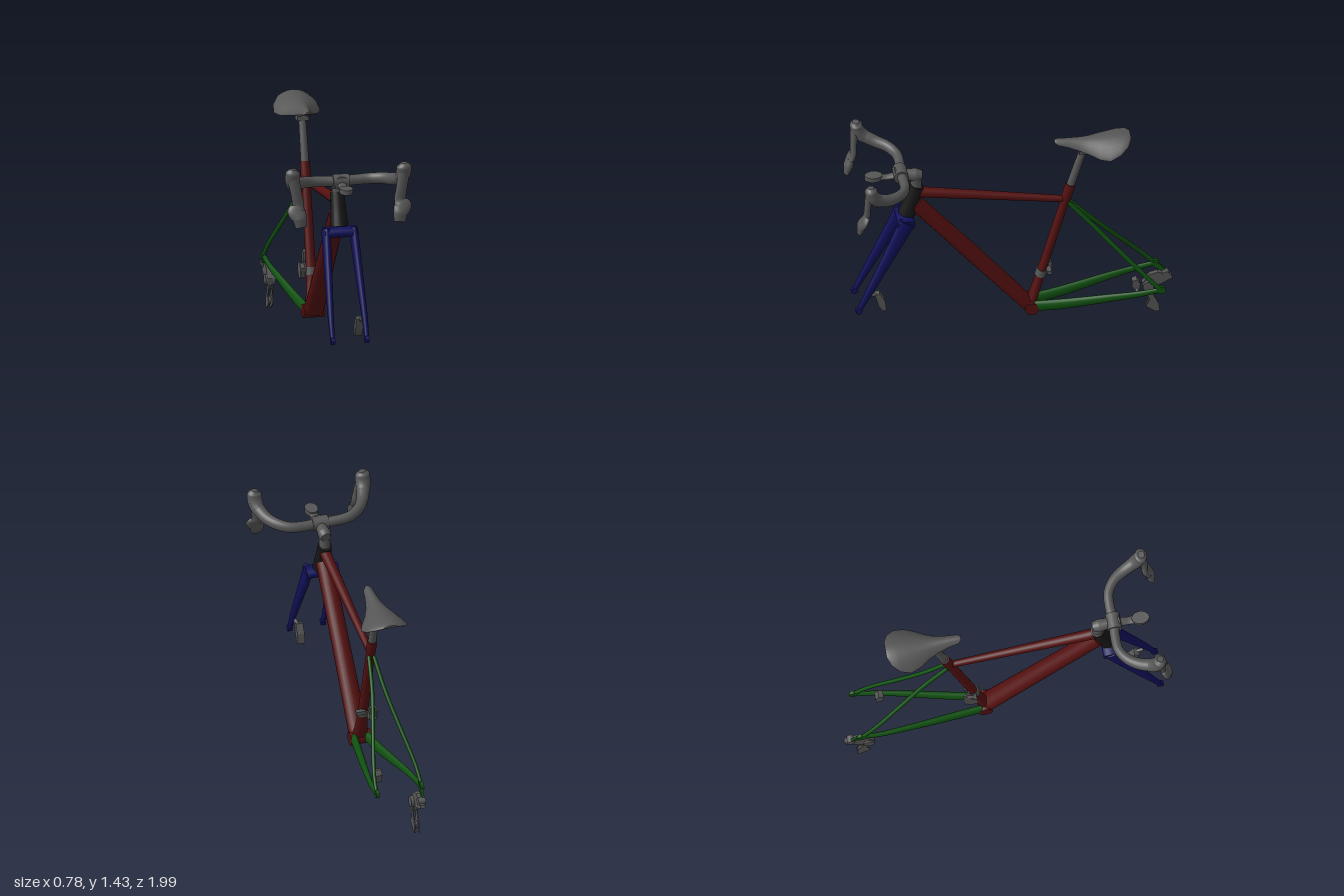
import * as THREE from 'three';

const mat = (name, color) => new THREE.MeshStandardMaterial({ name, color });
const V = (x, y, z) => new THREE.Vector3(x, y, z);

// Closed skin through matching rings of points, with flat end caps
function skin(rings) {
  const n = rings[0].length, pos = [], idx = [];
  rings.forEach(r => r.forEach(p => pos.push(p.x, p.y, p.z)));
  for (let i = 0; i < rings.length - 1; i++)
    for (let j = 0; j < n; j++) {
      const k = (j + 1) % n, a = i * n + j, b = i * n + k;
      idx.push(a, b, a + n, b, b + n, a + n);
    }
  [[rings[0], true], [rings[rings.length - 1], false]].forEach(([r, start]) => {
    const base = pos.length / 3;
    const c = r.reduce((s, p) => s.add(p), V(0, 0, 0)).divideScalar(n);
    [...r, c].forEach(p => pos.push(p.x, p.y, p.z));
    for (let j = 0; j < n; j++) {
      const a = base + j, b = base + (j + 1) % n;
      idx.push(base + n, start ? b : a, start ? a : b);
    }
  });
  const g = new THREE.BufferGeometry();
  g.setAttribute('position', new THREE.Float32BufferAttribute(pos, 3));
  g.setIndex(idx);
  g.computeVertexNormals();
  return g;
}

// Tapered tube; stations are [x, y, z, radius along hint, other radius]
function loft(st, hint = V(1, 0, 0), sides = 20) {
  const curve = new THREE.CatmullRomCurve3(st.map(s => V(s[0], s[1], s[2])));
  const steps = (st.length - 1) * 6, rings = [];
  for (let i = 0; i <= steps; i++) {
    const u = i / steps, f = u * (st.length - 1), k = Math.min(Math.floor(f), st.length - 2);
    const mix = c => THREE.MathUtils.lerp(st[k][c] ?? st[k][3], st[k + 1][c] ?? st[k + 1][3], f - k);
    const p = curve.getPoint(u), t = curve.getTangent(u);
    const s = hint.clone().addScaledVector(t, -hint.dot(t)).normalize();
    const w = t.clone().cross(s), ring = [];
    for (let j = 0; j < sides; j++) {
      const a = j / sides * Math.PI * 2;
      ring.push(p.clone().addScaledVector(s, Math.cos(a) * mix(3)).addScaledVector(w, Math.sin(a) * mix(4)));
    }
    rings.push(ring);
  }
  return skin(rings);
}

// Flat side plate from [z, y] corners, centred at x
function plate(pts, x, depth) {
  const shape = new THREE.Shape(pts.map(p => new THREE.Vector2(p[0], p[1])));
  const g = new THREE.ExtrudeGeometry(shape, { depth, bevelEnabled: false });
  return g.rotateY(-Math.PI / 2).translate(x + depth / 2, 0, 0);
}

// Short cylinder lying across the bike
const axle = (x, y, z, r, len) =>
  new THREE.CylinderGeometry(r, r, len, 20).rotateZ(Math.PI / 2).translate(x, y, z);

export function createModel() {
  const group = new THREE.Group();
  const red = mat('frame red', 0x541010), blue = mat('fork blue', 0x10105a);
  const green = mat('stay green', 0x105010), grey = mat('component grey', 0x555555);
  const black = mat('head tube black', 0x161616);
  const add = (name, geo, m) => {
    const mesh = new THREE.Mesh(geo, m);
    mesh.name = name;
    group.add(mesh);
  };

  // Main frame
  add('headTube', loft([[0, .96, .653, .055], [0, 1.06, .62, .048], [0, 1.16, .588, .043]]), black);
  add('topTube', loft([[0, 1.11, .58, .034], [0, 1.04, .13, .027], [0, .97, -.32, .021]]), red);
  add('downTube', loft([[0, 1.035, .6, .052, .048], [0, .63, .26, .056, .05], [0, .212, -.09, .062, .045]]), red);
  add('seatTube', loft([[0, .21, -.107, .05, .032], [0, .4, -.161, .032, .027], [0, .95, -.316, .027], [0, 1, -.33, .027]]), red);
  add('seatCollar', loft([[0, .96, -.319, .028], [0, 1.0, -.33, .031], [0, 1.08, -.353, .031]]), red);
  add('bottomBracket', axle(0, .205, -.107, .042, .132), red);

  // Fork crown and legs
  add('forkCrown', loft([[-.1, .93, .664, .034, .054], [0, .932, .664, .034, .054], [.1, .93, .664, .034, .054]], V(0, 1, 0)), blue);
  for (const s of [1, -1]) {
    add('forkLeg', loft([[s * .085, .95, .66, .026, .05], [s * .089, .85, .705, .026, .046],
      [s * .097, .65, .802, .023, .034], [s * .105, .45, .9, .018, .023], [s * .106, .345, .95, .014, .016]]), blue);
    add('forkTip', axle(s * .106, .33, .958, .021, .026), blue);

    // Rear triangle
    add('chainStay', loft([[s * .042, .213, -.13, .022, .036], [s * .06, .225, -.26, .022, .036],
      [s * .085, .25, -.42, .02, .032], [s * .113, .282, -.6, .017, .026],
      [s * .134, .308, -.76, .014, .02], [s * .141, .332, -.89, .012, .017]]), green);
    add('seatStay', loft([[s * .015, .955, -.335, .012, .014], [s * .04, .79, -.48, .012, .014],
      [s * .08, .63, -.62, .012, .014], [s * .132, .43, -.8, .011, .014], [s * .143, .34, -.88, .011, .014]]), green);
    add('dropout', axle(s * .142, .332, -.89, .026, .02), green);
  }
  add('derailleurHanger', plate([[-.87, .345], [-.91, .335], [-.955, .28], [-.94, .265], [-.88, .31]], -.135, .014), green);

  // Seat post, rails and saddle
  add('seatPost', loft([[0, 1.06, -.348, .025], [0, 1.2, -.39, .024], [0, 1.32, -.427, .023]]), grey);
  add('saddleClamp', new THREE.BoxGeometry(.07, .035, .07).rotateX(-.1).translate(0, 1.335, -.437), grey);
  for (const s of [1, -1])
    add('saddleRail', loft([[s * .012, 1.4, -.3, .007], [s * .022, 1.355, -.4, .007],
      [s * .024, 1.35, -.5, .007], [s * .045, 1.39, -.64, .007]], V(1, 0, 0), 8), grey);
  // z, half width, top height, side droop, thickness
  const saddle = [[-.717, .05, 1.428, .008, .015], [-.695, .1, 1.433, .025, .03], [-.645, .136, 1.435, .055, .04],
    [-.58, .144, 1.43, .08, .045], [-.52, .12, 1.425, .075, .045], [-.46, .082, 1.42, .055, .042],
    [-.4, .055, 1.42, .04, .04], [-.33, .038, 1.422, .022, .035], [-.27, .03, 1.424, .012, .028], [-.252, .014, 1.42, .004, .014]];
  add('saddle', skin(saddle.map(([z, w, top, droop, t]) => Array.from({ length: 28 }, (_, j) => {
    const a = j / 28 * Math.PI * 2, u = Math.cos(a);
    return V(w * u, top - droop * u * u - t / 2 + t / 2 * Math.sin(a), z);
  }))), grey);

  // Stem and computer mount
  add('steererSpacer', loft([[0, 1.15, .592, .033], [0, 1.26, .6, .033]]), grey);
  add('stem', loft([[0, 1.235, .56, .03, .03], [0, 1.24, .6, .04, .042], [0, 1.25, .66, .033, .032], [0, 1.257, .73, .048, .04]]), grey);
  add('barClamp', axle(0, 1.26, .69, .044, .1), grey);
  add('mountArm', loft([[0, 1.25, .7, .03, .02], [0, 1.24, .78, .025, .014], [0, 1.245, .83, .03, .012]]), grey);
  add('computerMount', new THREE.CylinderGeometry(.04, .04, .03, 24).scale(1, 1, 1.35).translate(0, 1.248, .855), grey);

  // Handlebar, hoods and levers
  for (const s of [1, -1]) {
    add('handlebar', loft([[0, 1.26, .69, .032], [s * .1, 1.262, .682, .032, .03], [s * .19, 1.267, .69, .034, .03],
      [s * .26, 1.277, .735, .036, .032], [s * .305, 1.288, .8, .038, .036], [s * .335, 1.315, .87, .04]], V(0, 1, 0)), grey);
    add('brakeHood', loft([[s * .32, 1.295, .82, .03, .032], [s * .335, 1.315, .87, .042, .042],
      [s * .344, 1.355, .905, .047, .042], [s * .345, 1.4, .917, .045, .038], [s * .342, 1.422, .918, .022, .02]]), grey);
    add('brakeLever', loft([[s * .342, 1.36, .925, .036, .026], [s * .325, 1.26, .935, .034, .02],
      [s * .316, 1.195, .938, .036, .02], [s * .328, 1.165, .952, .058, .022],
      [s * .312, 1.12, .968, .045, .03], [s * .306, 1.07, .982, .035, .016]]), grey);
  }

  // Disc brake calipers on the left side
  add('frontCaliper', plate([[.86, .43], [.83, .44], [.797, .385], [.788, .32], [.81, .31], [.838, .35], [.85, .4]], .084, .045), grey);
  add('frontCaliperArm', loft([[.095, .435, .89, .012], [.088, .42, .83, .012]], V(1, 0, 0), 10), grey);
  add('rearCaliper', plate([[-.715, .39], [-.745, .4], [-.765, .37], [-.76, .32], [-.73, .325], [-.715, .35]], .09, .045), grey);
  add('rearCaliperArm', loft([[.09, .35, -.745, .012], [.12, .305, -.745, .012]], V(0, 0, 1), 10), grey);

  // Front derailleur
  add('derailleurBand', loft([[0, .415, -.165, .036, .034], [0, .46, -.178, .036, .034]]), grey);
  add('frontDerailleurBody', new THREE.BoxGeometry(.045, .07, .06).rotateX(.25).translate(-.045, .435, -.2), grey);
  for (const x of [-.035, -.065])
    add('frontDerailleurCage', plate([[-.155, .4], [-.16, .46], [-.2, .49], [-.245, .475], [-.24, .43], [-.2, .385]], x, .008), grey);
  add('cableArm', new THREE.BoxGeometry(.06, .025, .03).translate(.03, .465, -.215), grey);

  // Rear derailleur on the right side
  add('rearDerailleurBody', plate([[-.85, .27], [-.9, .285], [-.985, .255], [-.992, .235], [-.93, .2], [-.86, .17], [-.81, .16], [-.805, .21]], -.12, .03), grey);
  add('derailleurPivot', axle(-.122, .262, -.95, .024, .045), grey);
  add('derailleurKnuckle', axle(-.115, .195, -.84, .034, .06), grey);
  for (const x of [-.122, -.096])
    add('rearDerailleurCage', plate([[-.82, .2], [-.865, .19], [-.875, .12], [-.905, .06], [-.912, .005], [-.885, 0], [-.825, .045], [-.85, .09], [-.83, .14]], x, .007), grey);
  add('upperPulley', axle(-.109, .155, -.847, .026, .012), grey);
  add('lowerPulley', axle(-.109, .048, -.878, .026, .012), grey);

  return group;
}
